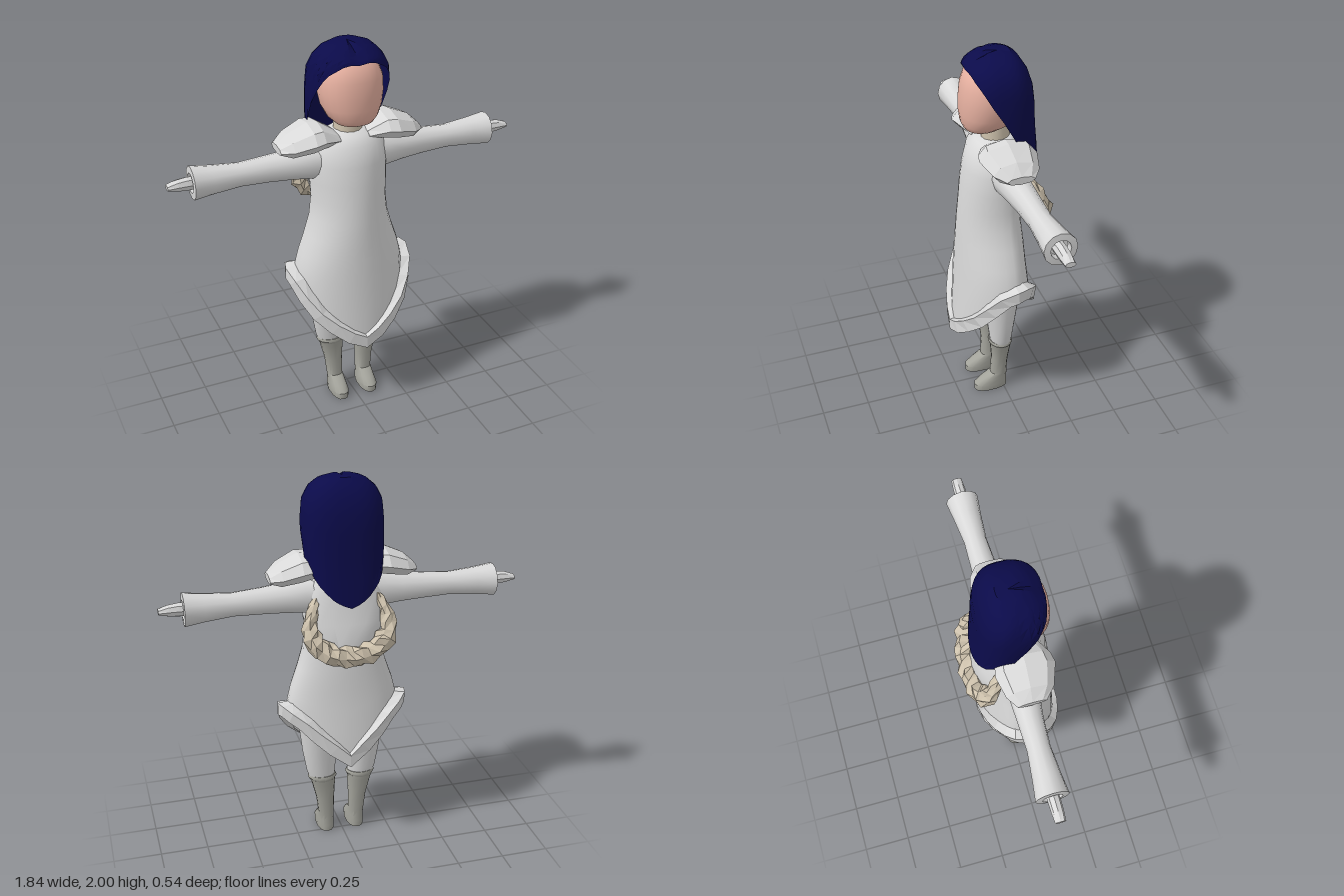
import * as THREE from 'three';
import { toCreasedNormals } from 'three/addons/utils/BufferGeometryUtils.js';

const V = (x, y, z) => new THREE.Vector3(x, y, z);
const mat = (name, color, side = THREE.FrontSide) => {
  const m = new THREE.MeshStandardMaterial({ color, side });
  m.name = name;
  return m;
};

// Linear lookup in rows [key, a, b, ...] sorted by rising key
function lookup(rows, k) {
  let i = 0;
  while (i < rows.length - 2 && k > rows[i + 1][0]) i++;
  const a = rows[i], b = rows[i + 1];
  const t = THREE.MathUtils.clamp((k - a[0]) / (b[0] - a[0]), 0, 1);
  return a.slice(1).map((v, j) => v + (b[j + 1] - v) * t);
}

// Skin through closed rings of points; crease 0 gives flat facets
function loft(rings, { crease = 0.7, capStart = true, capEnd = true } = {}) {
  const n = rings[0].length, pos = [], idx = [];
  rings.forEach(r => r.forEach(p => pos.push(p.x, p.y, p.z)));
  for (let i = 0; i < rings.length - 1; i++) {
    for (let j = 0; j < n; j++) {
      const k = (j + 1) % n, a = i * n + j, b = i * n + k;
      idx.push(a, b, b + n, a, b + n, a + n);
    }
  }
  const cap = (i, flip) => {
    const c = V(0, 0, 0);
    rings[i].forEach(p => c.addScaledVector(p, 1 / n));
    const m = pos.length / 3;
    pos.push(c.x, c.y, c.z);
    for (let j = 0; j < n; j++) {
      const a = i * n + j, b = i * n + (j + 1) % n;
      idx.push(m, flip ? b : a, flip ? a : b);
    }
  };
  if (capStart) cap(0, true);
  if (capEnd) cap(rings.length - 1, false);
  const g = new THREE.BufferGeometry();
  g.setAttribute('position', new THREE.Float32BufferAttribute(pos, 3));
  g.setIndex(idx);
  if (crease) return toCreasedNormals(g, crease);
  const flat = g.toNonIndexed();
  flat.computeVertexNormals();
  return flat;
}

// Superellipse point: angle 0 is the front, rising towards +x
const pow = (v, e) => Math.sign(v) * Math.abs(v) ** e;
const oval = (t, e = 1) => [pow(Math.sin(t), e), pow(Math.cos(t), e)];
const ring = (n, f) => Array.from({ length: n }, (_, j) => f(j / n * Math.PI * 2));
// Rows [y, centre x, centre z, radius x, radius z], bottom to top
const column = (rows, n, e = 1) => rows.map(([y, cx, cz, rx, rz]) =>
  ring(n, t => { const [s, c] = oval(t, e); return V(cx + s * rx, y, cz + c * rz); }));
// Rows [x, centre y, centre z, radius y, radius z], inside to outside
const beam = (rows, n, e = 1) => column(rows.map(([x, cy, cz, ry, rz]) => [x, -cy, cz, ry, rz]), n, e)
  .map(r => r.map(p => V(p.y, -p.x, p.z)));
const mirror = rings => rings.map(r => r.map(p => V(-p.x, p.y, p.z)).reverse());

// Coat: [y, half width, front depth, back depth]
const COAT = [[0.4, 0.28, 0.25, 0.17], [0.6, 0.305, 0.235, 0.155], [0.8, 0.295, 0.225, 0.13],
  [0.9, 0.27, 0.22, 0.12], [1, 0.235, 0.215, 0.115], [1.1, 0.205, 0.21, 0.105], [1.2, 0.195, 0.2, 0.095],
  [1.3, 0.2, 0.19, 0.09], [1.4, 0.2, 0.175, 0.09], [1.5, 0.185, 0.15, 0.09], [1.54, 0.14, 0.11, 0.08],
  [1.56, 0.08, 0.07, 0.07]];
// Hem height by degrees from the front
const HEM = [[0, 0.43], [19, 0.48], [40, 0.575], [64, 0.71], [80, 0.785], [105, 0.79], [130, 0.75], [150, 0.66], [180, 0.52]];
// Hair: [y, centre z, half width, front depth, back depth] and its lower edge
const HAIR = [[1.38, -0.13, 0.13, 0.02, 0.06], [1.5, -0.1, 0.175, 0.03, 0.08], [1.62, -0.02, 0.2, 0.1, 0.15],
  [1.77, 0, 0.205, 0.18, 0.165], [1.88, 0, 0.195, 0.175, 0.15], [1.94, 0, 0.165, 0.155, 0.12],
  [1.98, 0, 0.12, 0.1, 0.09], [2, 0, 0.06, 0.05, 0.06]];
const HAIR_EDGE = [[0, 1.935], [25, 1.92], [45, 1.885], [62, 1.83], [76, 1.75], [90, 1.61], [105, 1.55], [120, 1.5], [150, 1.42], [180, 1.38]];

const degrees = t => { const d = t * 180 / Math.PI; return d > 180 ? 360 - d : d; };
function coatPoint(t, y) {
  const [rx, zf, zb] = lookup(COAT, y);
  return V(Math.sin(t) * rx, y, Math.cos(t) * (Math.cos(t) > 0 ? zf : zb));
}
function hairPoint(t, y) {
  const [cz, rx, zf, zb] = lookup(HAIR, y);
  const [s, c] = oval(t, 0.8);
  const part = Math.abs(s) < 0.02 && c > 0 ? 0.013 : 0;
  return V(s * rx, y - part, cz + c * (c > 0 ? zf : zb));
}
const hemPoint = t => coatPoint(t, lookup(HEM, degrees(t))[0]);

export function createModel() {
  const model = new THREE.Group();
  const cloth = mat('pale grey cloth', 0xd9d9d9);
  const coatCloth = mat('pale grey coat cloth', 0xd9d9d9, THREE.DoubleSide);
  const leather = mat('grey boot leather', 0xa3a39b);
  const fur = mat('beige fur', 0xcdc1ac);
  const skin = mat('skin', 0xe6b0a0);
  const blue = mat('dark blue hair', 0x0b0b4a, THREE.DoubleSide);
  const add = (name, geometry, material) => {
    const m = new THREE.Mesh(geometry, material);
    m.name = name;
    model.add(m);
  };
  const pair = (name, rings, material, opts) => {
    add(name + 'Left', loft(rings, opts), material);
    add(name + 'Right', loft(mirror(rings), opts), material);
  };

  // Coat with a hem that is low in front, high at the sides
  const N = 32;
  const skirt = [0, 0.33, 0.67].map(f => ring(N, t => coatPoint(t, THREE.MathUtils.lerp(lookup(HEM, degrees(t))[0], 0.9, f))));
  const body = COAT.filter(r => r[0] >= 0.9).map(r => ring(N, t => coatPoint(t, r[0])));
  add('coat', loft([...skirt, ...body], { crease: 1.2, capStart: false }), coatCloth);

  // Raised trim following the hem
  const trim = ring(24, t => {
    const p = hemPoint(t);
    const tangent = hemPoint((t + 0.06) % (2 * Math.PI)).sub(hemPoint((t - 0.06 + 2 * Math.PI) % (2 * Math.PI))).normalize();
    const out = V(Math.sin(t), 0, Math.cos(t));
    const up = out.clone().cross(tangent).normalize();
    const d = 0.022 + 0.026 * Math.sin(t) ** 2;
    return [[-0.012, 0.036], [d, 0.03], [d, -0.036], [-0.012, -0.036]].map(([o, u]) =>
      p.clone().addScaledVector(out, o).addScaledVector(up, u));
  });
  add('coatTrim', loft([...trim, trim[0]], { crease: 0, capStart: false, capEnd: false }), cloth);

  // Trousers and boots
  pair('trouserLeg', column([[0.34, 0.107, 0.02, 0.07, 0.055], [0.38, 0.112, 0.02, 0.078, 0.06], [0.5, 0.118, 0.022, 0.093, 0.075],
    [0.62, 0.12, 0.022, 0.105, 0.092], [0.78, 0.125, 0.02, 0.12, 0.11], [0.92, 0.12, 0.03, 0.115, 0.11]], 16), cloth);
  pair('boot', column([[0, 0.084, 0.068, 0.045, 0.093], [0.035, 0.084, 0.068, 0.048, 0.093], [0.065, 0.084, 0.052, 0.043, 0.075],
    [0.1, 0.085, 0.022, 0.041, 0.046], [0.2, 0.09, 0.018, 0.048, 0.043], [0.3, 0.1, 0.018, 0.063, 0.053],
    [0.33, 0.104, 0.019, 0.069, 0.058]], 14, 0.85), leather);
  pair('bootCuff', column([[0.325, 0.104, 0.019, 0.07, 0.059], [0.34, 0.105, 0.02, 0.079, 0.065], [0.355, 0.106, 0.02, 0.074, 0.061]], 14), leather);

  // Sleeves flaring to a hollow cuff, then the hands
  pair('sleeve', beam([[0.1, 1.41, 0, 0.1, 0.09], [0.2, 1.405, 0, 0.093, 0.085], [0.3, 1.4, -0.005, 0.077, 0.073],
    [0.42, 1.398, -0.01, 0.068, 0.063], [0.56, 1.395, -0.012, 0.06, 0.057], [0.7, 1.395, -0.015, 0.072, 0.07],
    [0.8, 1.395, -0.017, 0.085, 0.082], [0.803, 1.395, -0.017, 0.05, 0.05], [0.77, 1.395, -0.017, 0.046, 0.046]], 12), cloth);
  pair('hand', beam([[0.74, 1.395, -0.014, 0.03, 0.03], [0.82, 1.397, -0.014, 0.036, 0.031], [0.87, 1.397, -0.014, 0.03, 0.03],
    [0.92, 1.395, -0.014, 0.014, 0.026]], 8), cloth, { crease: 0 });

  // Faceted shoulder cape
  pair('shoulderCape', beam([[0.075, 1.53, 0.02, 0.025, 0.09], [0.17, 1.555, 0.02, 0.065, 0.135], [0.22, 1.55, 0.02, 0.07, 0.145],
    [0.32, 1.52, 0.015, 0.055, 0.115], [0.375, 1.505, 0.01, 0.02, 0.07]], 8), cloth, { crease: 0 });

  // Lowered hood on the back with a lumpy fur rim
  add('hood', loft(column([[1.12, 0, -0.13, 0.07, 0.05], [1.18, 0, -0.12, 0.15, 0.07], [1.28, 0, -0.09, 0.19, 0.07],
    [1.42, 0, -0.06, 0.19, 0.07], [1.52, 0, -0.03, 0.14, 0.08]], 14)), cloth);
  const path = new THREE.CatmullRomCurve3([V(-0.15, 1.41, -0.08), V(-0.195, 1.32, -0.13), V(-0.19, 1.22, -0.165), V(-0.11, 1.15, -0.195),
    V(0, 1.13, -0.205), V(0.11, 1.15, -0.195), V(0.19, 1.22, -0.165), V(0.195, 1.32, -0.13), V(0.15, 1.41, -0.08)]);
  const rim = new THREE.TubeGeometry(path, 22, 0.052, 7, false);
  const p = rim.attributes.position;
  for (let i = 0; i < p.count; i++) {
    const row = Math.floor(i / 8), col = i % 8 % 7;
    const c = path.getPointAt(row / 22);
    const taper = 0.35 + 0.65 * Math.min(1, Math.min(row, 22 - row) / 6);
    const k = taper * (1 + 0.2 * Math.sin(row * 2.3 + col * 4.1));
    p.setXYZ(i, c.x + (p.getX(i) - c.x) * k, c.y + (p.getY(i) - c.y) * k, c.z + (p.getZ(i) - c.z) * k);
  }
  const flatRim = rim.toNonIndexed();
  flatRim.computeVertexNormals();
  add('furRim', flatRim, fur);

  // Neck and head
  add('neck', loft(column([[1.5, 0, 0.01, 0.078, 0.075], [1.58, 0, 0.01, 0.072, 0.07], [1.64, 0, 0.01, 0.07, 0.068]], 14)), fur);
  add('head', loft(column([[1.612, 0, 0.09, 0.06, 0.06], [1.622, 0, 0.08, 0.095, 0.09], [1.65, 0, 0.06, 0.125, 0.122],
    [1.7, 0, 0.045, 0.148, 0.143], [1.77, 0, 0.035, 0.16, 0.152], [1.84, 0, 0.03, 0.158, 0.149], [1.9, 0, 0.028, 0.135, 0.132],
    [1.94, 0, 0.02, 0.1, 0.1], [1.965, 0, 0.01, 0.05, 0.05]], 24, 0.9), { crease: 1.2 }), skin);

  // Long hair: open round the face, tapering to a point down the back
  const hair = [0, 0.2, 0.4, 0.58, 0.74, 0.86, 0.95, 1].map(f => ring(32, t =>
    hairPoint(t, THREE.MathUtils.lerp(lookup(HAIR_EDGE, degrees(t))[0], 2, f))));
  add('hair', loft(hair, { crease: 0.5, capStart: false }), blue);

  return model;
}
